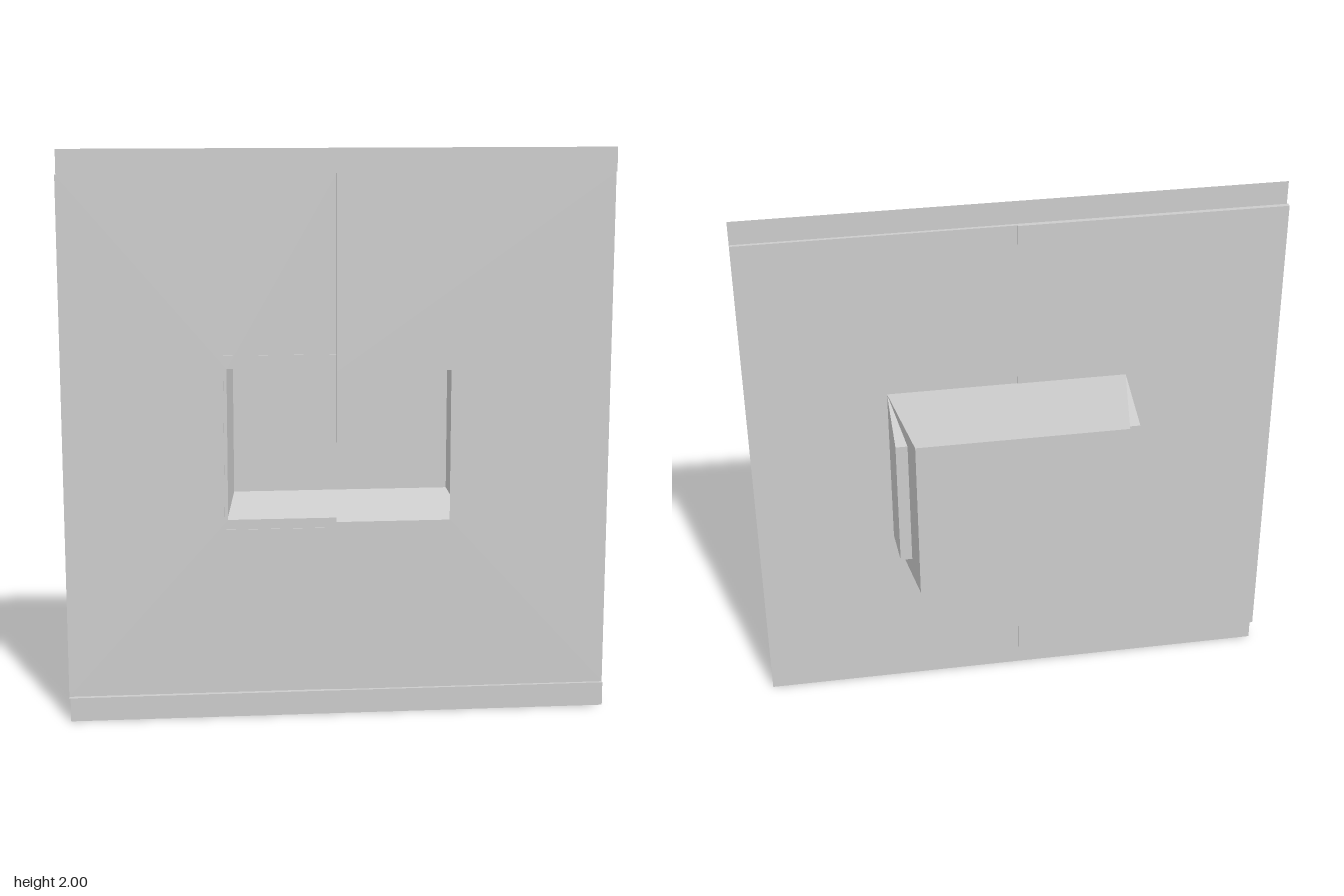
import * as THREE from 'three';

const material = new THREE.MeshStandardMaterial({
  color: 0xcccccc, flatShading: true, side: THREE.DoubleSide,
});

function add(parent, name, geometry) {
  const mesh = new THREE.Mesh(geometry, material);
  mesh.name = name;
  parent.add(mesh);
  return mesh;
}

// Flat sheet outlined by [x, y] points, standing at depth z
function sheet(points, z) {
  const shape = new THREE.Shape(points.map(([x, y]) => new THREE.Vector2(x, y)));
  return new THREE.ShapeGeometry(shape).translate(0, 0, z);
}

// Open-fronted shell between two rectangles { x0, x1, y0, y1, z }
function taperedShell(front, back) {
  const corners = (r) => [
    [r.x0, r.y0, r.z], [r.x1, r.y0, r.z], [r.x1, r.y1, r.z], [r.x0, r.y1, r.z],
  ];
  const f = corners(front), b = corners(back), positions = [];
  const quad = (p, q, r, s) => positions.push(...p, ...q, ...r, ...p, ...r, ...s);
  for (let i = 0; i < 4; i++) {
    const j = (i + 1) % 4;
    quad(f[j], f[i], b[i], b[j]);
  }
  quad(b[1], b[0], b[3], b[2]);
  const geometry = new THREE.BufferGeometry();
  geometry.setAttribute('position', new THREE.Float32BufferAttribute(positions, 3));
  geometry.computeVertexNormals();
  return geometry;
}

export function createModel() {
  const group = new THREE.Group();
  const low = 0.085, high = 1.915, seam = -0.01;
  const edgeZ = 0.186, rightZ = 0.169, leftZ = 0.174;

  // Wall halves, each cut away around its side of the opening
  const half = (outer, inner, y0, y1) => [
    [seam, low], [outer, low], [outer, high], [seam, high],
    [seam, y1], [inner, y1], [inner, y0], [seam, y0],
  ];
  add(group, 'rightWallPanel', sheet(half(-0.957, -0.39, 0.715, 1.248), rightZ));
  add(group, 'leftWallPanel', sheet(half(0.953, 0.39, 0.70, 1.235), leftZ));

  // Narrow step joining the two halves
  const step = new THREE.PlaneGeometry(leftZ - rightZ, high - low).rotateY(Math.PI / 2);
  add(group, 'wallSeam', step).position.set(seam, 1, (leftZ + rightZ) / 2);

  // Raised strips along top and bottom, with the ledges behind them
  for (const [name, y0, y1, ledgeY] of [
    ['bottom', 0, low, low], ['top', high, 2, high],
  ]) {
    add(group, name + 'Strip',
      sheet([[-0.952, y0], [0.953, y0], [0.953, y1], [-0.952, y1]], edgeZ));
    for (const [side, x0, x1, z] of [
      ['Right', -0.957, seam, rightZ], ['Left', seam, 0.953, leftZ],
    ]) {
      const ledge = new THREE.PlaneGeometry(x1 - x0, edgeZ - z).rotateX(-Math.PI / 2);
      add(group, name + side + 'Ledge', ledge)
        .position.set((x0 + x1) / 2, ledgeY, (edgeZ + z) / 2);
    }
  }

  // Outer housing, narrowing sideways towards the back
  add(group, 'outerHousing', taperedShell(
    { x0: -0.402, x1: 0.456, y0: 0.68, y1: 1.295, z: 0.172 },
    { x0: -0.342, x1: 0.398, y0: 0.68, y1: 1.295, z: -0.187 },
  ));

  // Inner recess with sloping floor and ceiling, showing past the housing sides
  add(group, 'innerRecess', taperedShell(
    { x0: -0.402, x1: 0.456, y0: 0.681, y1: 1.294, z: 0.168 },
    { x0: -0.402, x1: 0.456, y0: 0.757, y1: 1.238, z: -0.085 },
  ));

  return group;
}
